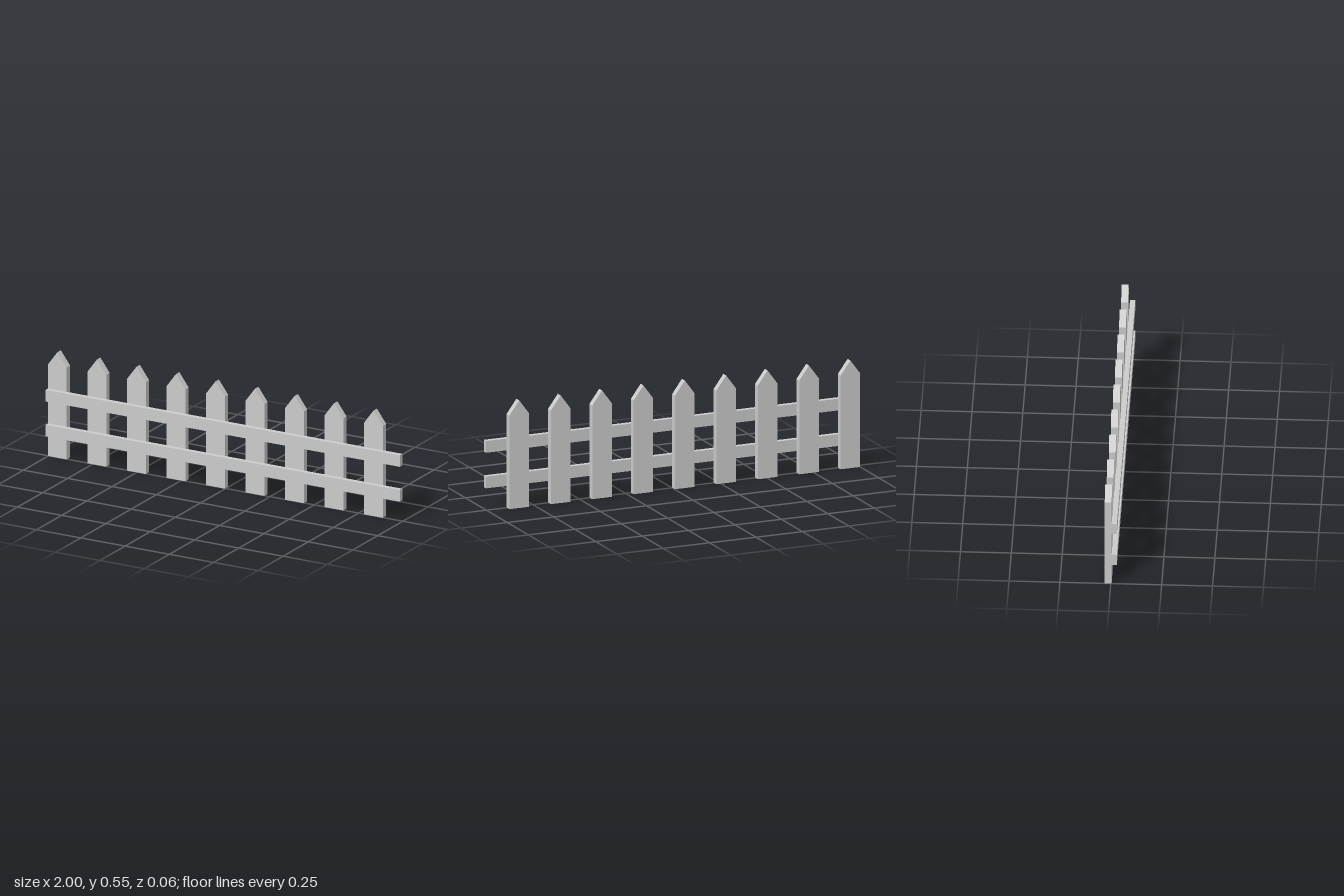
import * as THREE from 'three';

export function createModel() {
  const fence = new THREE.Group();
  fence.name = 'picketFence';
  const material = new THREE.MeshStandardMaterial({ color: 0xcccccc, flatShading: true });

  const count = 9, spacing = 0.223;
  const width = 0.105, shoulder = 0.477, height = 0.548;
  const back = -0.03, joint = 0.004, front = 0.03;

  // Pointed picket outline, extruded to board thickness
  const outline = new THREE.Shape([
    new THREE.Vector2(-width / 2, 0),
    new THREE.Vector2(width / 2, 0),
    new THREE.Vector2(width / 2, shoulder),
    new THREE.Vector2(0, height),
    new THREE.Vector2(-width / 2, shoulder),
  ]);
  const picketGeometry = new THREE.ExtrudeGeometry(outline, { depth: joint - back, bevelEnabled: false });

  // Evenly spaced pickets, the first flush with the rail ends
  for (let i = 0; i < count; i++) {
    const picket = new THREE.Mesh(picketGeometry, material);
    picket.name = `picket${i + 1}`;
    picket.position.set(-1 + width / 2 + i * spacing, 0, back);
    fence.add(picket);
  }

  // Two full-length rails on the front
  const railGeometry = new THREE.BoxGeometry(2, 0.06, front - joint);
  for (const [name, y] of [['lowerRail', 0.14], ['upperRail', 0.321]]) {
    const rail = new THREE.Mesh(railGeometry, material);
    rail.name = name;
    rail.position.set(0, y, (front + joint) / 2);
    fence.add(rail);
  }

  return fence;
}
